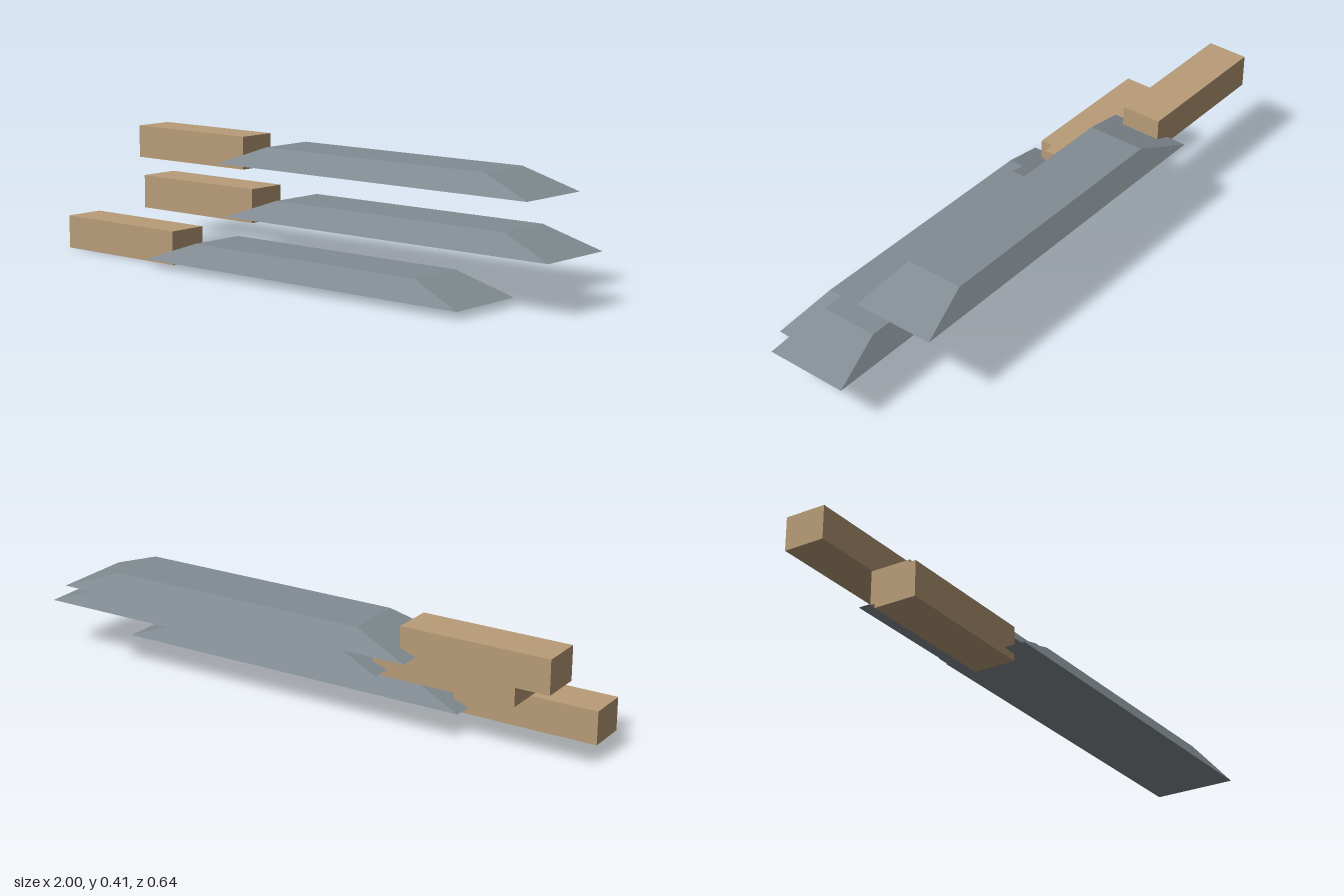
import * as THREE from 'three';

const wood = new THREE.MeshStandardMaterial({ color: 0xb89c78 });
wood.name = 'wood';
const steel = new THREE.MeshStandardMaterial({ color: 0x828c92 });
steel.name = 'steel';

// Box whose upper face is narrowed to give four bevelled sides
function bevelledSlab(length, height, width, topLength, topWidth) {
  const geometry = new THREE.BoxGeometry(length, height, width).toNonIndexed();
  const p = geometry.attributes.position;
  for (let i = 0; i < p.count; i++) {
    if (p.getY(i) > 0) {
      p.setX(i, p.getX(i) * topLength / length);
      p.setZ(i, p.getZ(i) * topWidth / width);
    }
  }
  geometry.computeVertexNormals();
  return geometry;
}

export function createModel() {
  const model = new THREE.Group();
  model.name = 'bladeSet';

  const handleGeometry = new THREE.BoxGeometry(0.52, 0.116, 0.144);
  const bladeGeometry = bevelledSlab(1.328, 0.07, 0.289, 0.936, 0.204);

  // Three identical blades stepped upward toward the back, the middle one set forward
  for (let i = 0; i < 3; i++) {
    const knife = new THREE.Group();
    knife.name = ['lowerKnife', 'middleKnife', 'upperKnife'][i];

    const handle = new THREE.Mesh(handleGeometry, wood);
    handle.name = 'handle';
    handle.position.set(-0.74, 0.058, 0);

    const blade = new THREE.Mesh(bladeGeometry, steel);
    blade.name = 'blade';
    blade.position.set(0.128, 0.059, 0);

    knife.add(handle, blade);
    knife.position.set(i === 1 ? 0.206 : 0, 0.1455 * i, 0.175 * (1 - i));
    model.add(knife);
  }
  return model;
}
